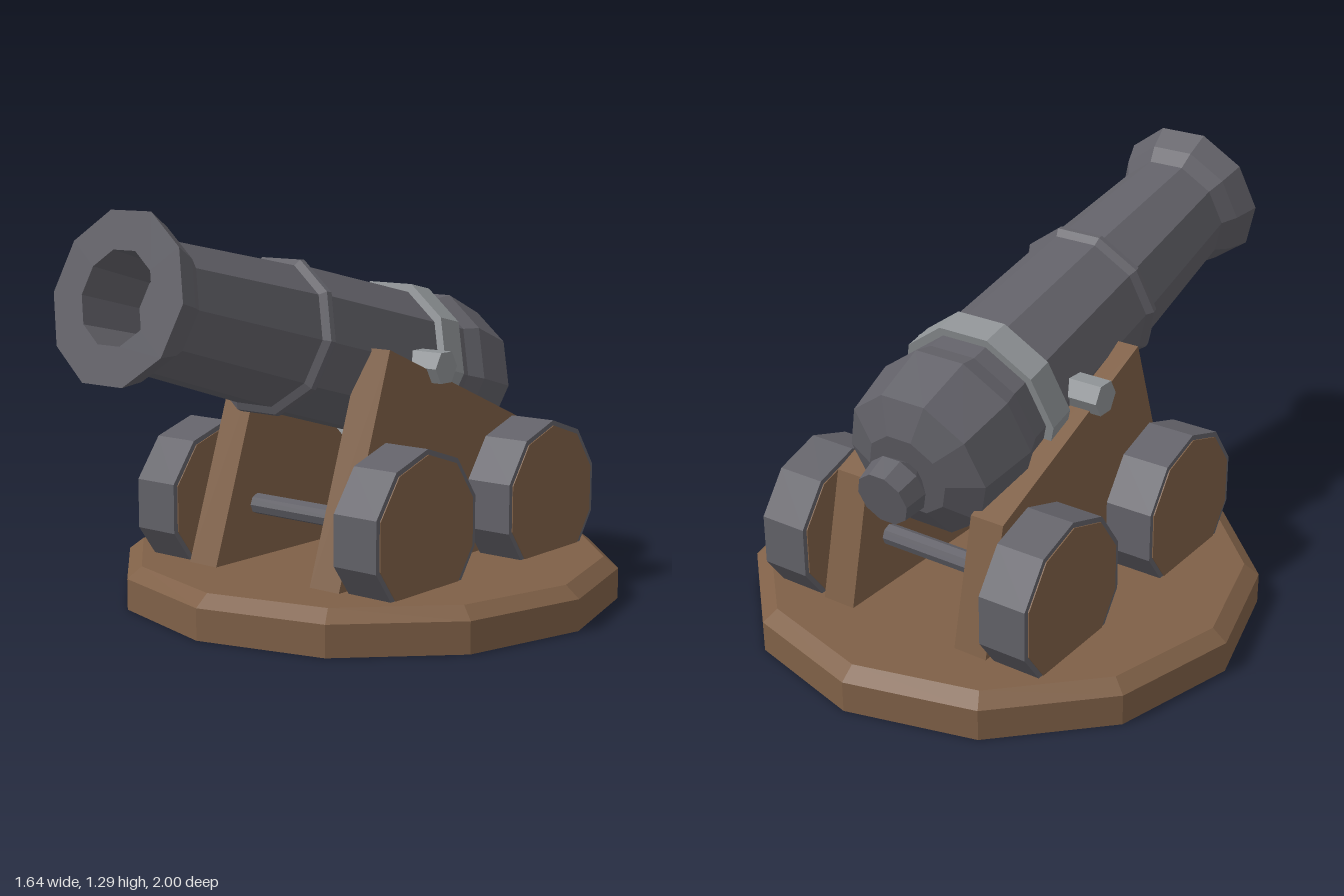
import * as THREE from 'three';

const wood = new THREE.MeshStandardMaterial({ color: 0x7f6047 });
wood.name = 'wood';
const iron = new THREE.MeshStandardMaterial({ color: 0x626168 });
iron.name = 'darkIron';
const steel = new THREE.MeshStandardMaterial({ color: 0x8f9396 });
steel.name = 'lightSteel';

// Faceted mesh: every face gets its own normal
function part(name, geometry, material) {
  const flat = geometry.index ? geometry.toNonIndexed() : geometry;
  flat.computeVertexNormals();
  const mesh = new THREE.Mesh(flat, material);
  mesh.name = name;
  return mesh;
}

// Turned form from [radius, height] pairs, bottom to top, corners on +x and -x
function turned(name, profile, sides, material) {
  const points = profile.map(([r, y]) => new THREE.Vector2(r, y));
  return part(name, new THREE.LatheGeometry(points, sides, Math.PI / 2), material);
}

// Solid bar lying along x
function crossBar(name, radius, length, sides, material, turn = 0) {
  const geometry = new THREE.CylinderGeometry(radius, radius, length, sides, 1, false, turn);
  return part(name, geometry.rotateZ(Math.PI / 2), material);
}

function makeBarrel() {
  const barrel = new THREE.Group();
  barrel.name = 'barrel';
  // Origin at the muzzle, barrel runs down -y before tilting
  barrel.add(turned('barrelBody', [
    [0, -1.78], [0.09, -1.78], [0.102, -1.705], [0.055, -1.66], // knob
    [0.14, -1.66], [0.25, -1.61], [0.28, -1.42], [0.256, -1.36], // breech
    [0.25, -1.2], [0.236, -0.69], [0.253, -0.668], [0.25, -0.65], [0.228, -0.635], // ring
    [0.198, -0.128], [0.23, -0.08], [0.259, 0], // muzzle flare
    [0.141, 0], [0.13, -0.22], [0, -0.22], // bore
  ], 10, iron));
  barrel.add(turned('barrelBand', [
    [0.245, -1.3], [0.281, -1.3], [0.278, -1.204], [0.245, -1.204],
  ], 10, steel));
  barrel.position.set(0, 1.05, 0.94);
  barrel.rotation.x = Math.PI / 2 - 0.25;
  return barrel;
}

function makeWheel() {
  const wheel = new THREE.Group();
  wheel.name = 'wheel';
  wheel.add(crossBar('wheelRim', 0.258, 0.16, 10, iron, Math.PI / 2));
  wheel.add(crossBar('wheelFaces', 0.241, 0.167, 10, wood, Math.PI / 2));
  return wheel;
}

export function createModel() {
  const model = new THREE.Group();
  model.name = 'cannon';

  // Twelve-sided plinth with a bevelled top edge
  const base = turned('base', [
    [0, 0], [0.82, 0], [0.82, 0.1], [0.772, 0.137], [0, 0.137],
  ], 12, wood);
  base.position.z = -0.18;
  model.add(base);

  // Carriage sides, drawn as (z, y) and extruded along x
  const outline = new THREE.Shape([
    [0.35, 0.13], [0.105, 0.848], [-0.62, 0.545], [-0.715, 0.13],
  ].map(([z, y]) => new THREE.Vector2(z, y)));
  for (const [name, x] of [['leftCheek', 0.31], ['rightCheek', -0.195]]) {
    const geometry = new THREE.ExtrudeGeometry(outline, { depth: 0.115, bevelEnabled: false });
    const cheek = part(name, geometry.rotateY(-Math.PI / 2), wood);
    cheek.position.x = x;
    model.add(cheek);
  }

  // Axles and wheels
  for (const z of [0.151, -0.526]) {
    const axle = crossBar('axle', 0.034, 0.8, 8, iron);
    axle.position.set(0, 0.313, z);
    model.add(axle);
    for (const side of [1, -1]) {
      const wheel = makeWheel();
      wheel.position.set(side * 0.411, 0.313, z);
      model.add(wheel);
    }
  }

  // Pivot pin through the barrel
  const trunnion = crossBar('trunnion', 0.056, 0.692, 6, steel);
  trunnion.position.set(0, 0.772, -0.135);
  model.add(trunnion);

  model.add(makeBarrel());
  return model;
}
